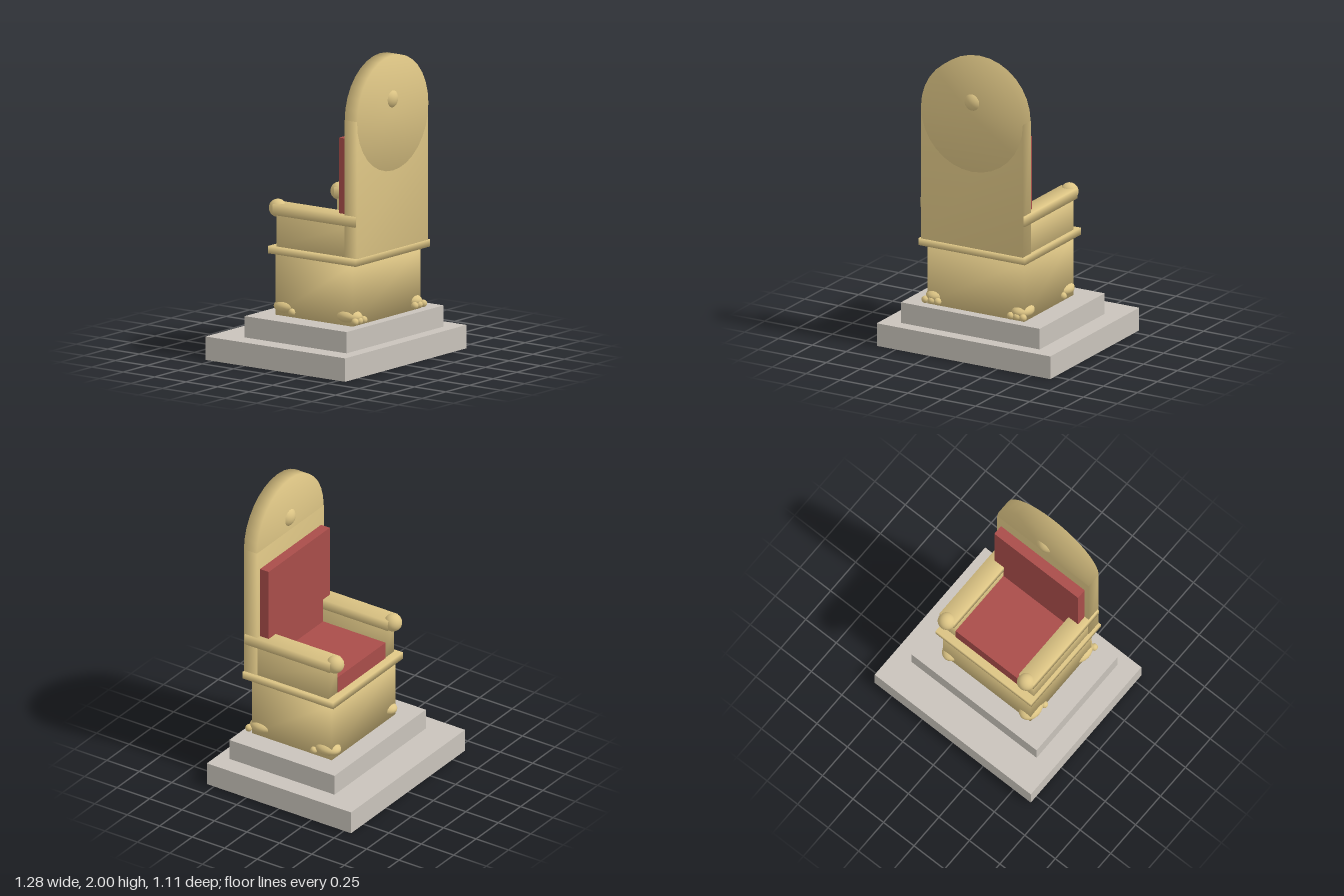
import * as THREE from 'three';
import { mergeVertices } from 'three/addons/utils/BufferGeometryUtils.js';

const gold = new THREE.MeshStandardMaterial({ color: 0xdcc484 });
gold.name = 'gold';
const red = new THREE.MeshStandardMaterial({ color: 0xa94d4a });
red.name = 'redCushion';
const stone = new THREE.MeshStandardMaterial({ color: 0xc9c3bb });
stone.name = 'stone';

// Shares the corners of a geometry so its shading runs softly over the edges
function soften(geometry) {
  geometry.deleteAttribute('normal');
  geometry.deleteAttribute('uv');
  const merged = mergeVertices(geometry, 1e-4);
  merged.computeVertexNormals();
  return merged;
}

export function createModel() {
  const throne = new THREE.Group();
  throne.name = 'throne';

  function add(name, geometry, material, x, y, z, parent = throne) {
    const mesh = new THREE.Mesh(geometry, material);
    mesh.name = name;
    mesh.position.set(x, y, z);
    parent.add(mesh);
    return mesh;
  }

  // Box given by its extents on each axis
  function addBox(name, material, [x0, x1], [y0, y1], [z0, z1]) {
    let geometry = new THREE.BoxGeometry(x1 - x0, y1 - y0, z1 - z0);
    if (material === gold) geometry = soften(geometry);
    return add(name, geometry, material, (x0 + x1) / 2, (y0 + y1) / 2, (z0 + z1) / 2);
  }

  // Stepped stone platform
  addBox('lowerStep', stone, [-0.64, 0.64], [0, 0.152], [-0.555, 0.555]);
  addBox('upperStep', stone, [-0.512, 0.512], [0.152, 0.29], [-0.34, 0.47]);

  // Seat block and rim
  addBox('seatBase', gold, [-0.358, 0.358], [0.29, 0.69], [-0.213, 0.402]);
  addBox('seatRim', gold, [-0.392, 0.392], [0.69, 0.737], [-0.247, 0.452]);

  // Backrest with round head and a boss running through it
  addBox('backPanel', gold, [-0.375, 0.375], [0.737, 1.627], [0.35, 0.45]);
  const disc = soften(new THREE.CylinderGeometry(0.375, 0.375, 0.1, 32).rotateX(Math.PI / 2));
  add('backHead', disc, gold, 0, 1.625, 0.402);
  add('backBoss', new THREE.SphereGeometry(0.075, 24, 16), gold, 0, 1.715, 0.401);

  // Cushions
  addBox('seatCushion', red, [-0.268, 0.268], [0.737, 0.85], [-0.198, 0.35]);
  addBox('backCushion', red, [-0.343, 0.343], [0.84, 1.5], [0.283, 0.352]);

  const ball = new THREE.SphereGeometry(0.058, 24, 16);
  const paw = new THREE.SphereGeometry(1, 24, 16);
  const toe = new THREE.SphereGeometry(0.024, 14, 10);
  for (const side of [-1, 1]) {
    const span = (a, b) => (side > 0 ? [a, b] : [-b, -a]);

    // Arms
    addBox('armPanel', gold, span(0.268, 0.37), [0.737, 0.942], [-0.194, 0.402]);
    addBox('armRest', gold, span(0.265, 0.385), [0.942, 1.01], [-0.215, 0.44]);
    add('armKnob', ball, gold, side * 0.325, 0.978, -0.217);

    // Paw feet, each with three toes
    for (const z of [-0.155, 0.345]) {
      const foot = new THREE.Group();
      foot.name = 'pawFoot';
      foot.position.set(side * 0.315, 0.345, z);
      throne.add(foot);
      add('paw', paw, gold, 0, 0, 0, foot).scale.set(0.068, 0.045, 0.09);
      for (const x of [-0.046, 0, 0.046]) add('toe', toe, gold, x, -0.022, 0.078, foot);
    }
  }
  return throne;
}
